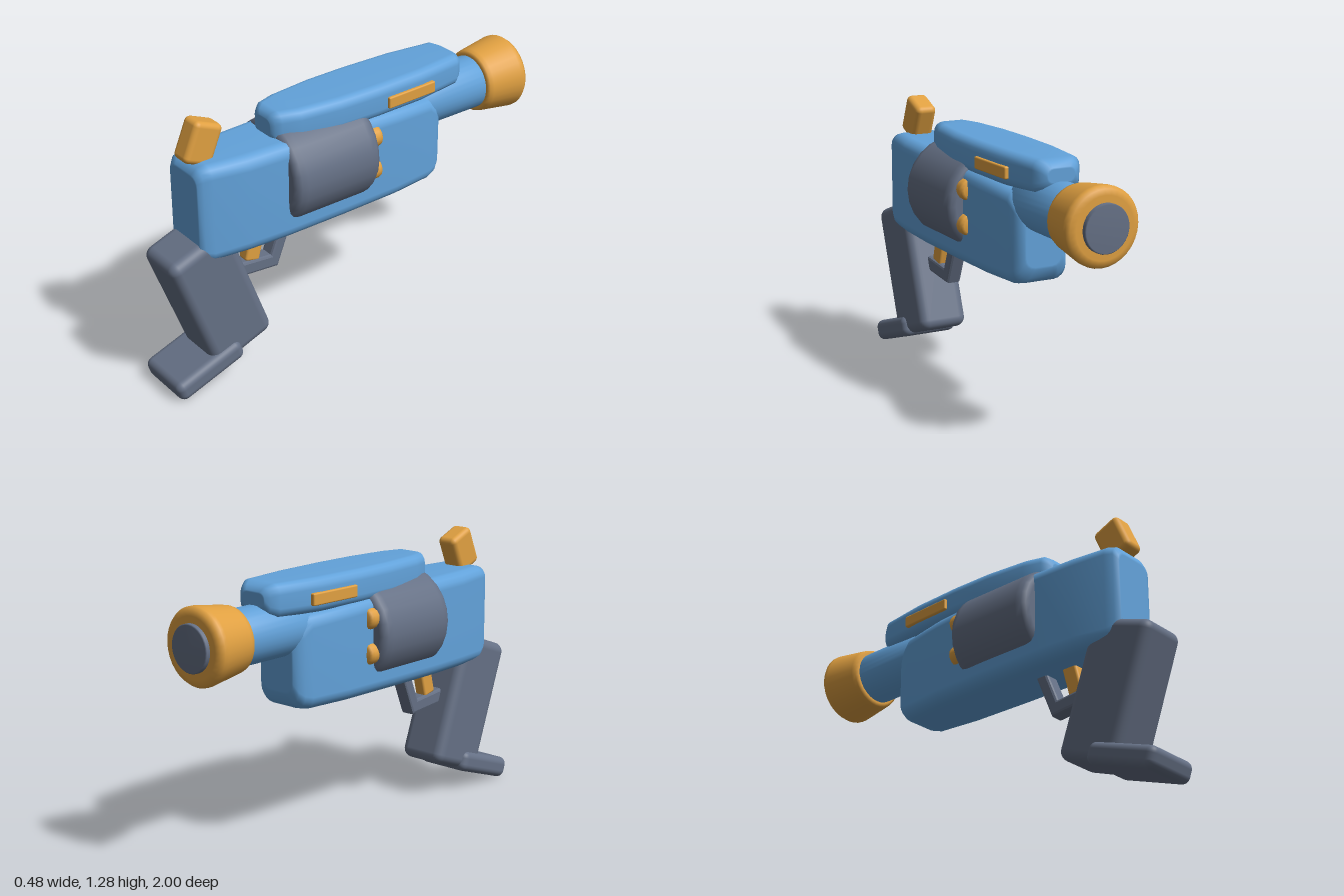
import * as THREE from 'three';
import { RoundedBoxGeometry } from 'three/addons/geometries/RoundedBoxGeometry.js';

const blue = new THREE.MeshStandardMaterial({ color: 0x62a2da });
blue.name = 'blue shell';
const orange = new THREE.MeshStandardMaterial({ color: 0xe0a041 });
orange.name = 'orange accent';
const grey = new THREE.MeshStandardMaterial({ color: 0x657085 });
grey.name = 'slate grey';

// Smooth skin through rounded-rectangle sections, listed by rising z:
// [z, half width, bottom, top, corner radius]
function loft(stations) {
  const STEPS = 5, ring = STEPS * 4, pos = [], index = [];
  const inset = ([z, w, lo, hi, r]) => [z, w * 0.9, lo + w * 0.1, hi - w * 0.1, r * 0.9];
  const all = [inset(stations[0]), ...stations, inset(stations[stations.length - 1])];
  for (const [z, w, lo, hi, r] of all) {
    for (let c = 0; c < 4; c++) {
      const sx = c === 0 || c === 3 ? 1 : -1, top = c < 2;
      for (let k = 0; k < STEPS; k++) {
        const a = (c + k / (STEPS - 1)) * Math.PI / 2;
        pos.push(sx * (w - r) + r * Math.cos(a), (top ? hi - r : lo + r) + r * Math.sin(a), z);
      }
    }
  }
  for (let s = 0; s < all.length - 1; s++) {
    for (let i = 0; i < ring; i++) {
      const a = s * ring + i, b = s * ring + (i + 1) % ring;
      index.push(a, b, b + ring, a, b + ring, a + ring);
    }
  }
  // end caps
  const last = (all.length - 1) * ring;
  for (let i = 1; i < ring - 1; i++) {
    index.push(0, i + 1, i, last, last + i, last + i + 1);
  }
  const g = new THREE.BufferGeometry();
  g.setAttribute('position', new THREE.Float32BufferAttribute(pos, 3));
  g.setIndex(index);
  g.computeVertexNormals();
  return g;
}

// Turned part along z from [radius, z] points, listed by rising z
function turned(points, segments = 32) {
  const g = new THREE.LatheGeometry(points.map(([r, z]) => new THREE.Vector2(r, z)), segments);
  return g.rotateX(Math.PI / 2);
}

export function createModel() {
  const group = new THREE.Group();
  const add = (name, geometry, material, x = 0, y = 0, z = 0, tilt = 0) => {
    const m = new THREE.Mesh(geometry, material);
    m.name = name;
    m.position.set(x, y, z);
    m.rotation.x = tilt;
    group.add(m);
    return m;
  };

  // main frame, tapered towards both ends
  add('body', loft([
    [-0.49, 0.095, 0.72, 0.96, 0.05],
    [-0.475, 0.115, 0.68, 1.0, 0.055],
    [-0.45, 0.13, 0.655, 1.035, 0.06],
    [-0.41, 0.14, 0.645, 1.07, 0.06],
    [-0.2, 0.162, 0.645, 1.085, 0.06],
    [0.1, 0.168, 0.645, 1.1, 0.06],
    [0.4, 0.168, 0.645, 1.11, 0.06],
    [0.6, 0.158, 0.645, 1.11, 0.06],
    [0.77, 0.132, 0.645, 1.11, 0.055],
    [0.81, 0.12, 0.66, 1.1, 0.05],
    [0.83, 0.105, 0.69, 1.07, 0.045],
  ]), blue);

  // rounded rail on top
  add('topRail', loft([
    [-0.63, 0.07, 1.12, 1.19, 0.03],
    [-0.615, 0.09, 1.09, 1.21, 0.04],
    [-0.58, 0.115, 1.075, 1.225, 0.045],
    [-0.35, 0.143, 1.07, 1.225, 0.045],
    [-0.1, 0.15, 1.07, 1.225, 0.045],
    [0.1, 0.145, 1.07, 1.225, 0.045],
    [0.3, 0.122, 1.07, 1.225, 0.045],
    [0.385, 0.095, 1.075, 1.225, 0.045],
    [0.41, 0.075, 1.08, 1.21, 0.04],
    [0.42, 0.055, 1.1, 1.19, 0.03],
  ]), blue);

  // barrel, flared muzzle and bore plug
  add('barrel', turned([[0, -0.82], [0.125, -0.82], [0.125, -0.4], [0, -0.4]]), blue, 0, 1.005);
  add('muzzle', turned([
    [0, -0.978], [0.135, -0.978], [0.16, -0.972], [0.172, -0.955], [0.172, -0.935],
    [0.15, -0.785], [0.145, -0.765], [0.132, -0.755], [0, -0.755],
  ]), orange, 0, 1.005);
  add('borePlug', turned([[0, -1], [0.1, -1], [0.105, -0.994], [0.105, -0.95]]), grey, 0, 1.005);

  // drum with rounded rims
  add('drum', turned([
    [0, -0.05], [0.2, -0.05], [0.222, -0.043], [0.235, -0.025], [0.24, 0.005],
    [0.24, 0.355], [0.235, 0.385], [0.222, 0.403], [0.2, 0.41], [0, 0.41],
  ], 24), grey, 0, 0.92);

  // pegs on the drum face
  const pegShape = turned([
    [0, -0.095], [0.035, -0.093], [0.046, -0.085], [0.05, -0.07], [0.05, -0.02],
  ], 16);
  for (let i = 0; i < 6; i++) {
    const a = Math.PI / 6 + i * Math.PI / 3;
    add('drumPeg', pegShape, orange, 0.17 * Math.cos(a), 0.92 + 0.16 * Math.sin(a), 0);
  }

  // side inlays on the rail
  for (const side of [-1, 1]) {
    const inlay = add('railInlay', new RoundedBoxGeometry(0.03, 0.055, 0.27, 2, 0.007),
      orange, side * 0.143, 1.138, -0.282);
    inlay.rotation.y = side * 0.03;
  }

  // hammer
  add('hammer', new RoundedBoxGeometry(0.104, 0.19, 0.145, 3, 0.025), orange, 0, 1.18, 0.75, -0.4);

  // grip and its heel
  add('grip', new RoundedBoxGeometry(0.245, 0.64, 0.325, 4, 0.045), grey, 0, 0.436, 0.731, 0.35);
  add('gripHeel', new RoundedBoxGeometry(0.286, 0.1, 0.36, 4, 0.035), grey, 0, 0.107, 0.82, 0.33);

  // trigger and its guard
  add('trigger', new RoundedBoxGeometry(0.06, 0.2, 0.075, 3, 0.012), orange, 0, 0.61, 0.49, -0.25);
  const outline = new THREE.Shape([
    [0.65, 0.467], [0.385, 0.444], [0.29, 0.68], [0.345, 0.68], [0.415, 0.505], [0.65, 0.528],
  ].map(([z, y]) => new THREE.Vector2(z, y)));
  const guard = new THREE.ExtrudeGeometry(outline, {
    depth: 0.05, bevelEnabled: true, bevelSize: 0.012, bevelThickness: 0.012, bevelOffset: -0.008, bevelSegments: 2,
  });
  guard.translate(0, 0, -0.025).rotateY(-Math.PI / 2);
  add('triggerGuard', guard, grey);

  return group;
}
